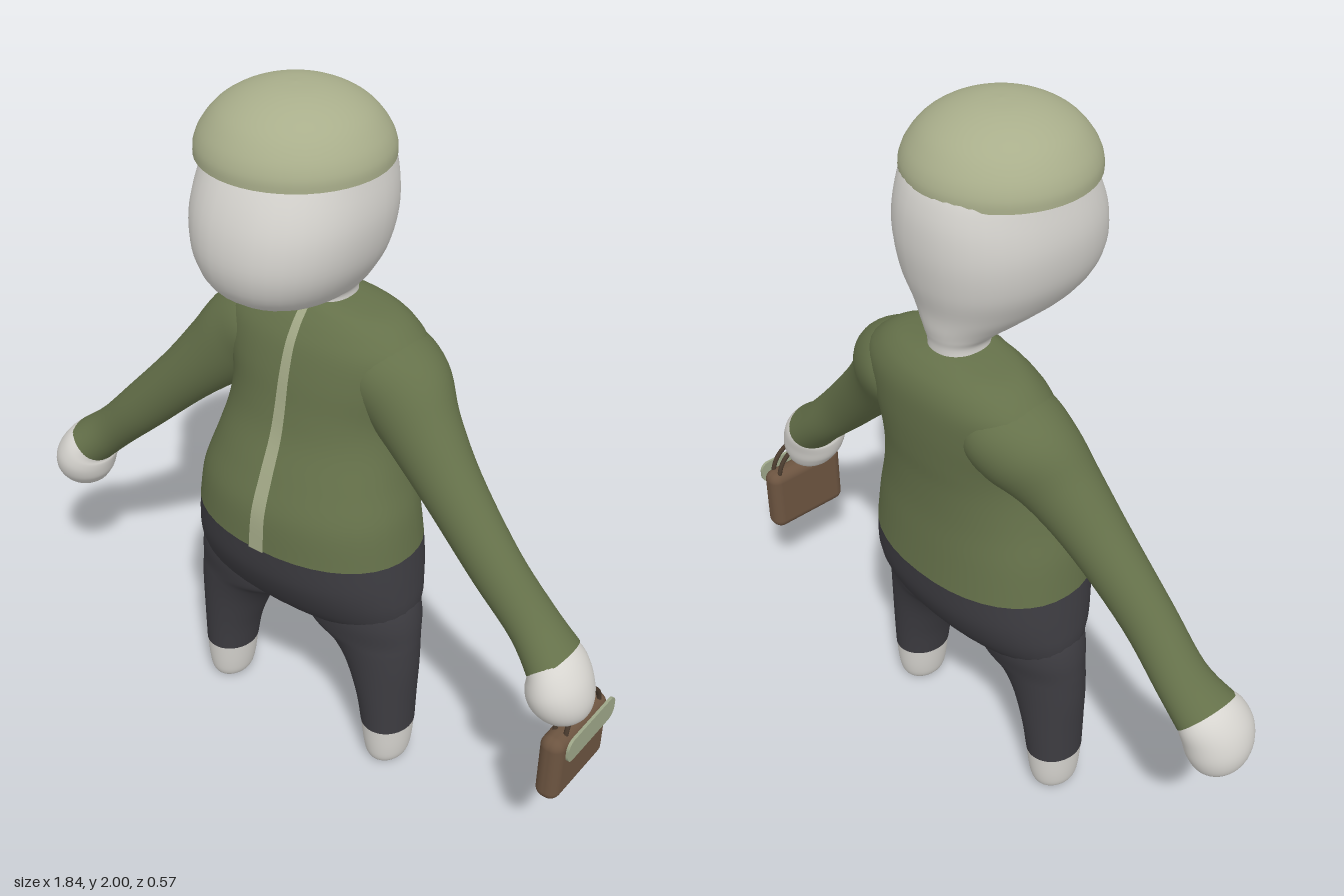
import * as THREE from 'three';
import { RoundedBoxGeometry } from 'three/addons/geometries/RoundedBoxGeometry.js';

const mat = (name, color, side = THREE.FrontSide) => {
  const m = new THREE.MeshStandardMaterial({ color, side });
  m.name = name;
  return m;
};

// Smoothly interpolate rows of numbers (Catmull-Rom)
function smoothRows(rows, steps) {
  const out = [];
  const at = i => rows[Math.min(rows.length - 1, Math.max(0, i))];
  for (let i = 0; i < rows.length - 1; i++) {
    for (let s = 0; s < steps; s++) {
      const t = s / steps;
      out.push(rows[i].map((_, k) => {
        const [a, b, c, d] = [at(i - 1)[k], at(i)[k], at(i + 1)[k], at(i + 2)[k]];
        return b + 0.5 * t * (c - a + t * (2 * a - 5 * b + 4 * c - d + t * (3 * (b - c) + d - a)));
      }));
    }
  }
  out.push(rows[rows.length - 1]);
  return out;
}

// Skin over oval sections [x, y, z, radiusU, radiusZ]; tilted sections follow the path in the xy plane
function loft(sections, { power = 2, side = 1, tilt = false, steps = 5, sides = 40 } = {}) {
  const rows = smoothRows(sections, steps);
  const pos = [], index = [];
  const bulge = v => Math.sign(v) * Math.abs(v) ** (2 / power);
  rows.forEach(([x, y, z, ru, rz], i) => {
    const p = rows[Math.max(0, i - 1)], q = rows[Math.min(rows.length - 1, i + 1)];
    const len = Math.hypot(q[0] - p[0], q[1] - p[1]) || 1;
    const ux = tilt ? (q[1] - p[1]) / len : 1;
    const uy = tilt ? -(q[0] - p[0]) / len : 0;
    for (let j = 0; j < sides; j++) {
      const a = (j / sides) * Math.PI * 2;
      const u = bulge(Math.cos(a)) * ru, w = bulge(Math.sin(a)) * rz;
      pos.push(side * (x + ux * u), y + uy * u, z + w);
      if (i < rows.length - 1) {
        const b = i * sides, k = (j + 1) % sides;
        const quad = [b + j, b + sides + j, b + k, b + k, b + sides + j, b + sides + k];
        index.push(...(side > 0 ? quad : quad.reverse()));
      }
    }
  });
  const g = new THREE.BufferGeometry();
  g.setAttribute('position', new THREE.Float32BufferAttribute(pos, 3));
  g.setIndex(index);
  g.computeVertexNormals();
  return g;
}

// Upright sections given as [y, halfWidth, frontZ, backZ]
const upright = rows => rows.map(([y, w, f, b]) => [0, y, (f + b) / 2, w, (f - b) / 2]);

export function createModel() {
  const group = new THREE.Group();
  const skin = mat('pale skin', 0xd6d4cf);
  const green = mat('jacket green', 0x65714a);
  const dark = mat('trouser charcoal', 0x3d3c41);
  const sage = mat('cap sage', 0xa9ae8b);
  const zipMat = mat('zip sage', 0xa3a987, THREE.DoubleSide);
  const brown = mat('bag brown', 0x6c5440);
  const flapMat = mat('flap green', 0x9da688);
  const strap = mat('strap brown', 0x4a3b2e);
  const add = (name, geometry, material, parent = group) => {
    const m = new THREE.Mesh(geometry, material);
    m.name = name;
    parent.add(m);
    return m;
  };

  // Head and neck
  add('head', loft(upright([
    [1.38, 0.075, -0.04, -0.2], [1.42, 0.073, -0.04, -0.2], [1.445, 0.092, 0.02, -0.205],
    [1.47, 0.12, 0.13, -0.21], [1.52, 0.168, 0.24, -0.217], [1.6, 0.212, 0.282, -0.238],
    [1.7, 0.229, 0.28, -0.25], [1.8, 0.217, 0.245, -0.24], [1.88, 0.19, 0.19, -0.2],
    [1.94, 0.1, 0.09, -0.1], [1.95, 0.002, 0.002, -0.002],
  ]), { power: 2.25 }), skin);

  // Cap
  const capProfile = new THREE.SplineCurve([
    [0.241, 1.832], [0.239, 1.862], [0.222, 1.9], [0.185, 1.943], [0.13, 1.976], [0.065, 1.995], [0, 2],
  ].map(p => new THREE.Vector2(...p))).getPoints(24);
  add('cap', new THREE.LatheGeometry(capProfile, 48), sage).position.z = 0.015;
  const capBase = add('capUnderside', new THREE.CircleGeometry(0.241, 48), sage);
  capBase.rotation.x = Math.PI / 2;
  capBase.position.set(0, 1.832, 0.015);

  // Jacket body
  const torso = upright([
    [0.74, 0.335, 0.18, -0.28], [0.85, 0.318, 0.17, -0.272], [0.95, 0.288, 0.135, -0.266],
    [1.05, 0.265, 0.095, -0.268], [1.13, 0.262, 0.075, -0.276], [1.22, 0.285, 0.058, -0.282],
    [1.3, 0.295, 0.035, -0.28], [1.35, 0.255, 0.008, -0.265], [1.382, 0.2, -0.018, -0.238],
    [1.398, 0.12, -0.035, -0.212], [1.405, 0.07, -0.045, -0.195],
  ]);
  add('jacketBody', loft(torso, { power: 2.2 }), green);

  // Zip strip following the jacket front
  const zipPos = [], zipIndex = [];
  smoothRows(torso, 5).forEach(([, y, z, , rz], i, all) => {
    const w = 0.024 - 0.012 * (y - 0.74) / 0.66;
    zipPos.push(-w - 0.003, y, z + rz + 0.004, w - 0.003, y, z + rz + 0.004);
    const a = i * 2;
    if (i < all.length - 1) zipIndex.push(a, a + 1, a + 2, a + 1, a + 3, a + 2);
  });
  const zip = new THREE.BufferGeometry();
  zip.setAttribute('position', new THREE.Float32BufferAttribute(zipPos, 3));
  zip.setIndex(zipIndex);
  zip.computeVertexNormals();
  add('zip', zip, zipMat);

  // Trouser seat
  add('trouserSeat', loft(upright([
    [0.437, 0.005, -0.045, -0.055], [0.445, 0.12, 0, -0.1], [0.465, 0.24, 0.045, -0.145],
    [0.51, 0.335, 0.095, -0.195], [0.57, 0.353, 0.135, -0.238], [0.65, 0.347, 0.168, -0.27],
    [0.74, 0.335, 0.18, -0.28],
  ]), { power: 2.2 }), dark);

  // Limbs, mirrored
  for (const side of [1, -1]) {
    const label = side > 0 ? 'left' : 'right';
    add(label + 'TrouserLeg', loft([
      [0.29, 0.14, -0.042, 0.074, 0.083], [0.281, 0.24, -0.042, 0.086, 0.088],
      [0.261, 0.35, -0.042, 0.111, 0.095], [0.232, 0.42, -0.043, 0.14, 0.104],
      [0.194, 0.46, -0.045, 0.177, 0.115], [0.19, 0.52, -0.048, 0.176, 0.128],
      [0.185, 0.58, -0.05, 0.165, 0.13], [0.17, 0.66, -0.05, 0.14, 0.12],
    ], { side }), dark);
    add(label + 'Foot', loft([
      [0.293, 0.003, -0.04, 0.002, 0.002], [0.293, 0.005, -0.04, 0.035, 0.045],
      [0.293, 0.025, -0.041, 0.056, 0.066], [0.292, 0.07, -0.042, 0.066, 0.076],
      [0.29, 0.14, -0.042, 0.073, 0.082],
    ], { side }), skin);
    add(label + 'Sleeve', loft([
      [0.1, 1.275, -0.125, 0.08, 0.1], [0.18, 1.25, -0.125, 0.115, 0.135],
      [0.26, 1.195, -0.115, 0.127, 0.125], [0.34, 1.115, -0.085, 0.105, 0.098],
      [0.45, 1.0, -0.06, 0.084, 0.08], [0.6, 0.845, -0.04, 0.073, 0.069],
      [0.72, 0.725, -0.038, 0.066, 0.073], [0.8, 0.652, -0.022, 0.071, 0.092],
    ], { side, tilt: true }), green);
    add(label + 'Hand', loft([
      [0.785, 0.667, -0.022, 0.062, 0.082], [0.81, 0.64, -0.015, 0.075, 0.098],
      [0.829, 0.6, -0.008, 0.083, 0.101], [0.84, 0.555, -0.01, 0.081, 0.092],
      [0.844, 0.515, -0.016, 0.062, 0.068], [0.845, 0.495, -0.02, 0.032, 0.035],
      [0.845, 0.49, -0.02, 0.002, 0.002],
    ], { side, tilt: true }), skin);
  }

  // Handbag
  const bag = new THREE.Group();
  bag.name = 'handbag';
  bag.position.set(0.868, 0, -0.04);
  group.add(bag);
  add('bagBody', new RoundedBoxGeometry(0.068, 0.208, 0.26, 5, 0.03), brown, bag).position.y = 0.388;

  // Thin rounded flap standing just off the outer face
  const w = 0.118, h = 0.036, r = 0.028;
  const flapShape = new THREE.Shape();
  [[w - r, r - h, -0.5], [w - r, h - r, 0], [r - w, h - r, 0.5], [r - w, r - h, 1]].forEach(([x, y, a]) =>
    flapShape.absarc(x, y, r, a * Math.PI, (a + 0.5) * Math.PI, false));
  const flap = add('bagFlap', new THREE.ExtrudeGeometry(flapShape, { depth: 0.008, bevelEnabled: false }), flapMat, bag);
  flap.rotation.y = Math.PI / 2;
  flap.position.set(0.042, 0.466, -0.005);

  // Two carrying handles
  for (const x of [-0.016, 0.016]) {
    const handle = add('bagHandle', new THREE.TorusGeometry(0.085, 0.007, 8, 24, Math.PI), strap, bag);
    handle.rotation.y = Math.PI / 2;
    handle.position.set(x, 0.475, -0.012);
  }
  return group;
}
